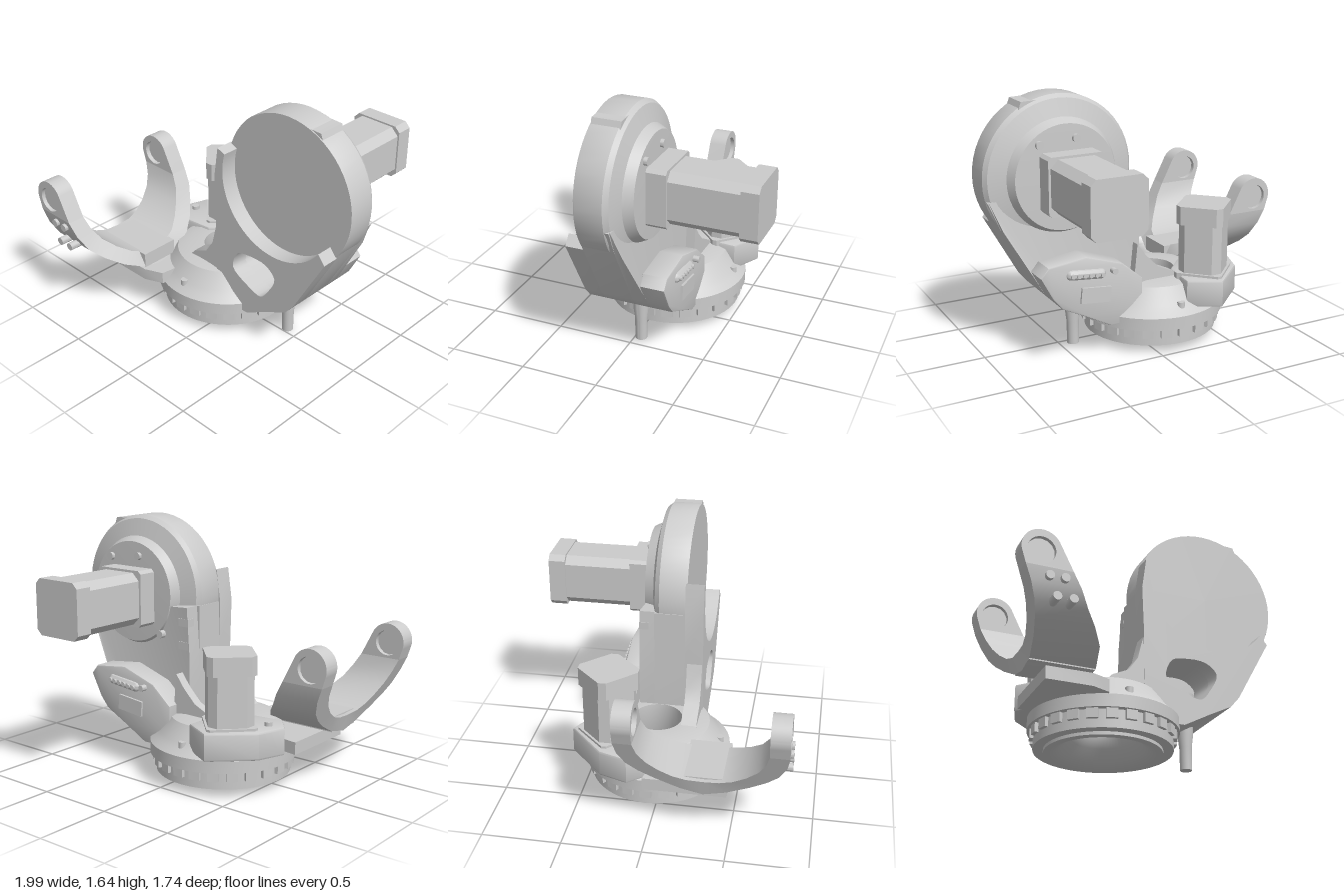
import * as THREE from 'three';
import { toCreasedNormals } from 'three/addons/utils/BufferGeometryUtils.js';

const V = (x, y) => new THREE.Vector2(x, y);
const grey = new THREE.MeshStandardMaterial({ color: 0xcccccc, side: THREE.DoubleSide });

export function createModel() {
  const root = new THREE.Group();
  const add = (name, geo, x = 0, y = 0, z = 0, crease = 0.6) => {
    const m = new THREE.Mesh(toCreasedNormals(geo, crease), grey);
    m.name = name;
    m.position.set(x, y, z);
    root.add(m);
    return m;
  };
  const poly = pts => new THREE.Shape(pts.map(p => V(p[0], p[1])));
  // Extrude a front outline between two depths, with an optional bevel
  const slab = (shape, z0, z1, b = 0) => new THREE.ExtrudeGeometry(shape, {
    depth: z1 - z0 - 2 * b, bevelEnabled: b > 0, bevelSize: b, bevelThickness: b,
    bevelOffset: -b, bevelSegments: 2, curveSegments: 20,
  }).translate(0, 0, z0 + b);
  const box = (name, w, h, d, x, y, z) => add(name, new THREE.BoxGeometry(w, h, d), x, y, z);
  const rod = (name, r, len, x, y, z, alongZ) => {
    const g = new THREE.CylinderGeometry(r, r, len, 14);
    if (alongZ) g.rotateX(Math.PI / 2);
    return add(name, g, x, y, z);
  };

  // Turntable base with an open bore
  const baseX = -0.15, baseZ = -0.05;
  const profile = [[0.16, 0.2], [0.16, 0.43], [0.26, 0.43], [0.34, 0.41], [0.41, 0.31], [0.44, 0.28],
    [0.475, 0.25], [0.475, 0.17], [0.435, 0.17], [0.435, 0.055], [0.37, 0.055], [0.37, 0.035],
    [0.32, 0.035], [0.26, 0.07], [0.2, 0.14], [0.16, 0.2]];
  add('baseTurntable', new THREE.LatheGeometry(profile.map(p => V(...p)), 56), baseX, 0, baseZ);
  for (let i = 0; i < 24; i++) {
    const a = i / 24 * Math.PI * 2;
    const t = box('baseTooth', 0.07, 0.06, 0.04, baseX + 0.437 * Math.sin(a), 0.14, baseZ + 0.437 * Math.cos(a));
    t.rotation.y = a;
  }
  for (const [x, y, z] of [[-0.15, 0.3, 0.36], [-0.15, 0.3, -0.46], [-0.6, 0.45, -0.18]])
    rod('baseBolt', 0.025, 0.05, x, y, z);

  // Motor seat on the side of the base
  const seat = poly([[-0.7, 0.15], [-0.64, 0.33], [-0.4, 0.555], [-0.2, 0.45], [-0.22, 0.2], [-0.35, 0.06], [-0.6, 0.03]]);
  add('motorSeat', slab(seat, 0.27, 0.45, 0.015).rotateX(-Math.PI / 2));

  // Chamfered square prism used by both motors
  const prism = (h, c, z0, z1) => slab(poly([[h, h - c], [h - c, h], [c - h, h], [-h, h - c],
    [-h, c - h], [c - h, -h], [h - c, -h], [h, c - h]]), z0, z1);
  const motor = (name, half, len, capLen, flangeLen) => {
    const g = new THREE.Group();
    g.name = name;
    const parts = [['Flange', prism(half, 0.02, 0, flangeLen)],
      ['Body', prism(half - 0.015, 0.05, flangeLen, len - capLen)],
      ['EndCap', prism(half - 0.004, 0.035, len - capLen, len)]];
    for (const [n, geo] of parts) {
      const m = new THREE.Mesh(toCreasedNormals(geo, 0.5), grey);
      m.name = name + n;
      g.add(m);
    }
    root.add(g);
    return g;
  };
  const lower = motor('baseMotor', 0.155, 0.5, 0.12, 0.06);
  lower.position.set(-0.4, 0.405, -0.31);
  lower.rotation.set(-Math.PI / 2, 0, Math.PI / 4);
  const upper = motor('armMotor', 0.183, 0.69, 0.11, 0.14);
  upper.position.set(0.495, 1.135, -0.18);
  upper.rotation.y = Math.PI;

  // Upright housing: a neck in layers, with a pocket open to the front
  const pocket = () => new THREE.Path(new THREE.CatmullRomCurve3(
    [[0.16, 0.5], [0.2, 0.62], [0.28, 0.645], [0.44, 0.64], [0.515, 0.57], [0.46, 0.45], [0.4, 0.385], [0.28, 0.42]]
      .map(p => new THREE.Vector3(p[0], p[1], 0)), true).getPoints(32).map(p => V(p.x, p.y)));
  const neckFoot = [[0.67, 0.44], [0.61, 0.37], [0.45, 0.29], [0.28, 0.2], [0.1, 0.2]];
  const neckSide = [[0.9, 0.85], ...neckFoot, [0.02, 0.26], [0.01, 0.5], [0.01, 0.8]];
  const rim = [];
  for (let i = 0; i <= 32; i++) {
    const a = (163 + i * (161.5 / 32)) * Math.PI / 180;
    rim.push([0.5 + 0.43 * Math.cos(a), 1.16 + 0.43 * Math.sin(a)]);
  }
  const front = poly([[0.03, 1.31], ...rim, ...neckSide, [0, 1.1]]);
  front.holes.push(pocket());
  add('neckFrontLip', slab(front, 0.1, 0.22));
  const middle = poly([[0.01, 1.1], [0.98, 1.03], ...neckSide]);
  middle.holes.push(pocket());
  add('neckCore', slab(middle, -0.1, 0.105));
  // The back layer slopes forward towards its upper outer corner
  const back = slab(poly([[0.03, 1.1], [0.97, 1.03], ...neckSide]), -0.2, -0.1);
  const bp = back.attributes.position;
  for (let i = 0; i < bp.count; i++)
    if (bp.getZ(i) < -0.15 && bp.getX(i) > 0.5)
      bp.setZ(i, -0.2 + 0.1 * THREE.MathUtils.clamp((bp.getY(i) - 0.55) / 0.5, 0, 1));
  add('neckBack', back);

  // Round drum on the neck, its flat face set back from the neck
  const drum = [[0, 0.11], [0.488, 0.11], [0.492, 0.1], [0.492, -0.07], [0.47, -0.1], [0.36, -0.13],
    [0.33, -0.19], [0, -0.2]];
  add('drumHousing', new THREE.LatheGeometry(drum.map(p => V(...p)).reverse(), 56).rotateX(Math.PI / 2), 0.505, 1.152, 0, 0.5);
  add('drumTopLug', slab(poly([[0.5, 1.635], [0.54, 1.62], [0.74, 1.612], [0.77, 1.53], [0.5, 1.5]]), -0.08, 0.105));
  for (const [x, y] of [[0.68, 1.37], [0.44, 1.39], [0.25, 0.9]]) rod('drumBolt', 0.025, 0.05, x, y, -0.19, true);
  for (const y of [0.85, 1.0]) box('cableClip', 0.08, 0.05, 0.06, 0.06, y, -0.17);

  // Fillets running from the neck down onto the base
  const foot = [[-0.09, 0.51], [-0.2, 0.46], [-0.25, 0.4], [-0.2, 0.28], [0.1, 0.28]];
  add('frontGusset', slab(poly([[0.04, 0.85], [0, 0.72], [-0.03, 0.6], ...foot]), 0.115, 0.215));
  add('backGusset', slab(poly([[0.06, 0.68], [0, 0.6], ...foot]), -0.27, -0.21));

  // Connector box at the back, flush with the side of the neck
  add('connectorBox', slab(poly([[0.2, 0.6], [0.06, 0.48], [0.06, 0.3], [0.1, 0.2], ...neckFoot.slice(0, 4).reverse(),
    [0.75, 0.59], [0.7, 0.65], [0.45, 0.68]]), -0.34, -0.18, 0.01));
  const tilt = 0.1;
  add('socketRow', new THREE.CapsuleGeometry(0.035, 0.2, 4, 10).rotateZ(Math.PI / 2), 0.45, 0.57, -0.33).rotation.z = tilt;
  for (let i = -2.5; i < 3; i++) rod('socketPin', 0.014, 0.03, 0.45 + i * 0.04, 0.57 + i * 0.04 * tilt, -0.36, true);
  box('socketPort', 0.2, 0.1, 0.03, 0.39, 0.43, -0.34).rotation.z = tilt;
  rod('valve', 0.02, 0.06, 0.27, 0.57, -0.35, true);

  // Cable conduit passing through the neck
  add('conduit', new THREE.LatheGeometry([[0, 0], [0.038, 0], [0.04, 0.15], [0.05, 0.23], [0.05, 0.46], [0.06, 0.47],
    [0.06, 0.51], [0, 0.51]].map(p => V(...p)), 18), 0.41, 0, -0.04);

  // Yoke: U-shaped strap leaning outward, its edges set by height
  const zMid = 0.34;
  const xl = y => -0.81 - 0.43 * (Math.max(y, 0.37) - 0.37);
  const xr = y => y > 0.56 ? -0.58 - 0.618 * (y - 0.56) : Math.min(-0.41, -0.58 + 1.06 * (0.56 - y));
  const half = [ // outer distance, outer height, inner distance, inner height
    [0.51, 0.74, 0.395, 0.74], [0.495, 0.65, 0.375, 0.66], [0.45, 0.56, 0.33, 0.585], [0.38, 0.495, 0.26, 0.52],
    [0.28, 0.43, 0.18, 0.47], [0.14, 0.36, 0.1, 0.445]];
  const mirror = s => half.map(([a, b, c, d]) => [s * a, b, s * c, d]);
  const sections = [...mirror(1), [0, 0.33, 0, 0.44], ...mirror(-1).reverse()];
  const pos = [], idx = [];
  sections.forEach(([a, b, c, d], i) => {
    pos.push(xl(b), b, zMid + a, xr(b), b, zMid + a, xr(d), d, zMid + c, xl(d), d, zMid + c);
    if (i) for (let k = 0; k < 4; k++) {
      const p = i * 4 - 4 + k, q = i * 4 - 4 + (k + 1) % 4;
      idx.push(p, p + 4, q, q, p + 4, q + 4);
    }
  });
  const strap = new THREE.BufferGeometry();
  strap.setAttribute('position', new THREE.Float32BufferAttribute(pos, 3));
  strap.setIndex(idx);
  add('yokeStrap', strap);

  // Rounded yoke ends with recessed bearings
  for (const s of [1, -1]) {
    const tip = new THREE.Shape();
    tip.moveTo(xl(0.74), 0.74);
    tip.lineTo(xr(0.74), 0.74);
    tip.absarc(-0.88, 0.85, 0.118, 0.5, 3.5, false);
    tip.closePath();
    tip.holes.push(new THREE.Path().absarc(-0.88, 0.84, 0.083, 0, Math.PI * 2, true));
    const z0 = zMid + (s > 0 ? 0.395 : -0.51);
    add('yokeEnd', slab(tip, z0, z0 + 0.115));
    rod('yokeBearing', 0.083, 0.06, -0.88, 0.84, zMid + s * 0.455, true);
  }
  for (const [x, y] of [[-0.83, 0.69], [-0.74, 0.69], [-0.785, 0.57], [-0.69, 0.57]])
    rod('yokeBolt', 0.026, 0.12, x, y, 0.805, true);

  // Plates fixing the yoke to the base
  box('yokePad', 0.4, 0.1, 0.26, -0.61, 0.4, zMid);
  add('yokeMount', slab(poly([[-0.71, 0.05], [-0.71, -0.47], [-0.42, -0.47], [-0.3, -0.42], [-0.26, -0.15], [-0.4, 0]]),
    0.25, 0.33).rotateX(-Math.PI / 2));
  return root;
}
